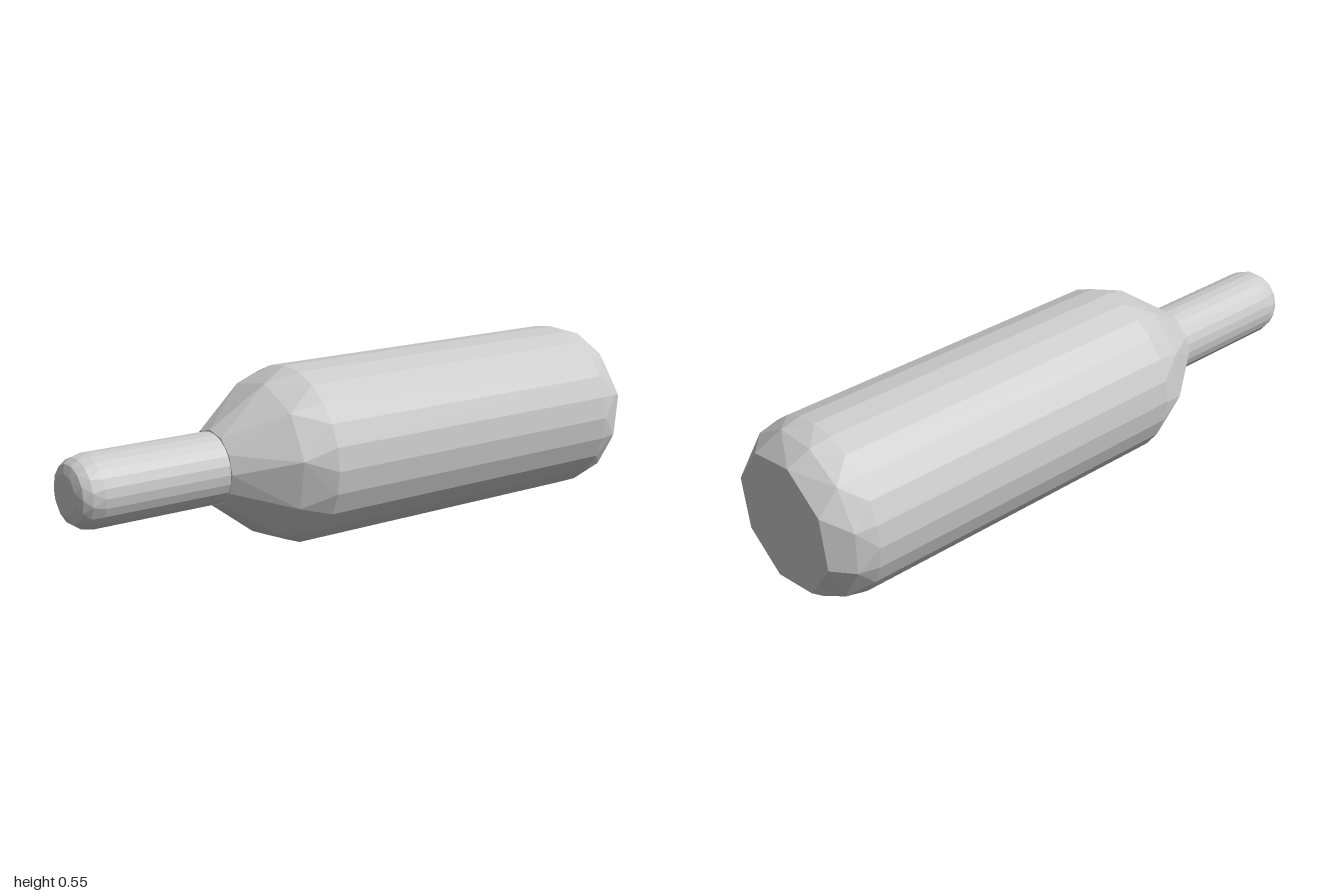
import * as THREE from 'three';
import { ConvexGeometry } from 'three/addons/geometries/ConvexGeometry.js';

const AXIS_Y = 0.274;

// Points evenly spaced round the bottle's axis at depth z
function ring(z, radius, count, turn = 0) {
  return Array.from({ length: count }, (_, i) => {
    const a = ((i + turn) / count) * Math.PI * 2;
    return new THREE.Vector3(radius * Math.cos(a), radius * Math.sin(a), z);
  });
}

// Faceted convex solid spanning a stack of rings
function facetedSolid(name, rings) {
  const points = rings.flatMap((r) => ring(...r));
  const material = new THREE.MeshStandardMaterial({ color: 0xcccccc, flatShading: true });
  const mesh = new THREE.Mesh(new ConvexGeometry(points), material);
  mesh.name = name;
  mesh.position.y = AXIS_Y;
  return mesh;
}

export function createModel() {
  const group = new THREE.Group();
  group.name = 'bottle';

  // Body: chamfered base, straight wall, coarse tapering shoulder
  group.add(facetedSolid('body', [
    [-1, 0.212, 8, 0.3],
    [-0.935, 0.26, 12, 0.5],
    [-0.87, 0.274, 24],
    [0.25, 0.274, 24],
    [0.35, 0.24, 10, 0.25],
    [0.52, 0.115, 12],
  ]));

  // Neck with a rounded mouth end
  group.add(facetedSolid('neck', [
    [0.5, 0.109, 24],
    [0.93, 0.109, 24],
    [0.965, 0.102, 16, 0.5],
    [0.988, 0.087, 14],
    [1, 0.062, 10, 0.5],
  ]));

  return group;
}
